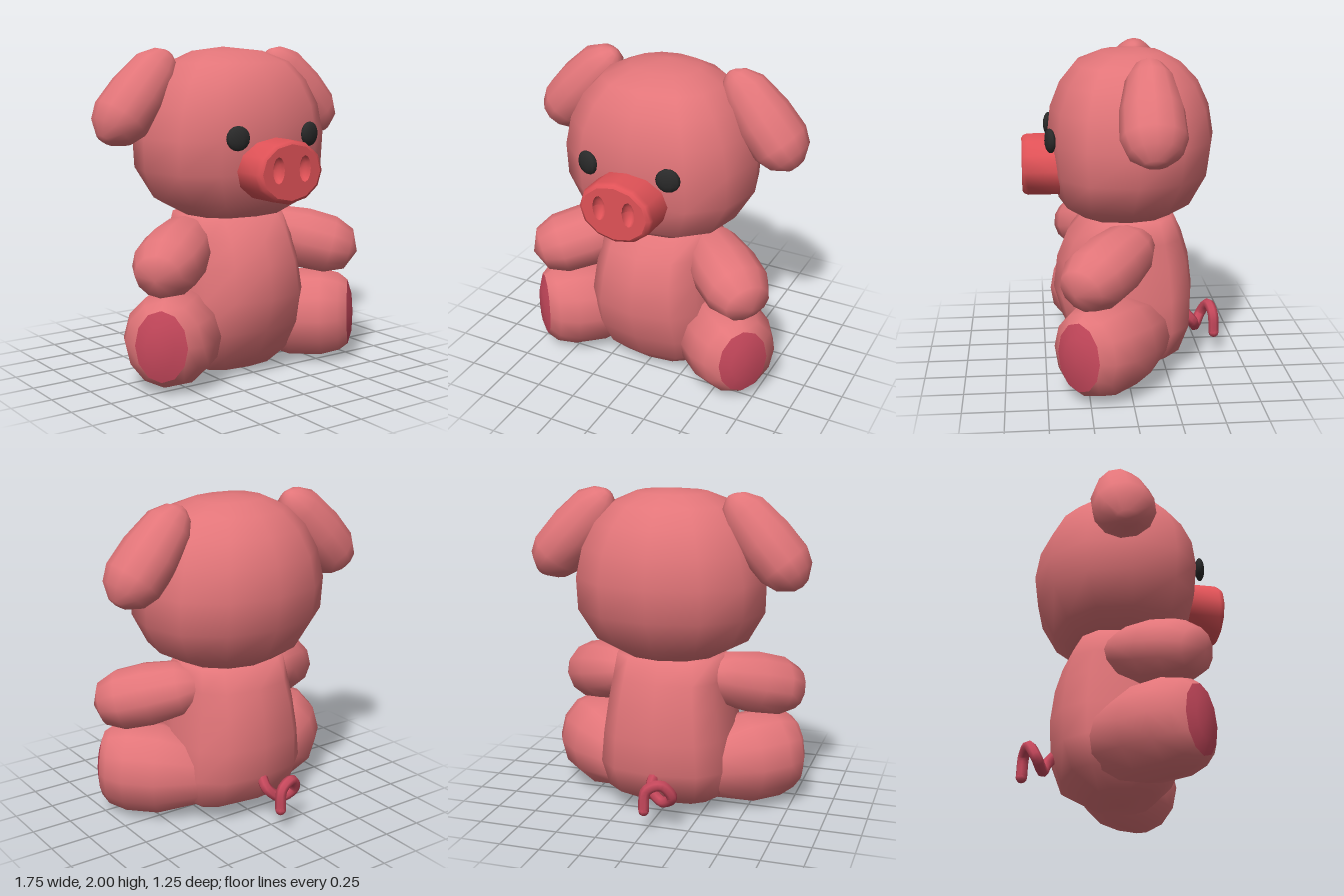
import * as THREE from 'three';
import { mergeVertices } from 'three/addons/utils/BufferGeometryUtils.js';

const mat = (name, color) => new THREE.MeshStandardMaterial({ name, color });
const V = (x, y, z) => new THREE.Vector3(x, y, z);
const SIDES = 12;

// Smooth skin over stacked rings: [y, rx, zBack, zFront]; powers above 2 square the front or back half
function loft(rings, front = 2, back = front) {
  const pos = [], index = [];
  rings.forEach(([y, rx, zb, zf], i) => {
    for (let j = 0; j < SIDES; j++) {
      const a = (j / SIDES) * Math.PI * 2;
      const power = Math.sin(a) > 0 ? front : back;
      const sup = (v) => Math.sign(v) * Math.abs(v) ** (2 / power);
      pos.push(rx * sup(Math.cos(a)), y, (zf + zb) / 2 + ((zf - zb) / 2) * sup(Math.sin(a)));
      if (i === rings.length - 1) continue;
      const l = i * SIDES + j, l2 = i * SIDES + ((j + 1) % SIDES);
      index.push(l, l + SIDES, l2, l2, l + SIDES, l2 + SIDES);
    }
  });
  let g = new THREE.BufferGeometry();
  g.setAttribute('position', new THREE.Float32BufferAttribute(pos, 3));
  g.setIndex(index);
  g = mergeVertices(g, 1e-5);
  g.computeVertexNormals();
  return g;
}

// Frame with y along a to b and z as close as possible to ref
function frame(a, b, ref) {
  const y = b.clone().sub(a).normalize();
  const z = ref.clone().addScaledVector(y, -ref.dot(y)).normalize();
  const x = y.clone().cross(z);
  return new THREE.Matrix4().makeBasis(x, y, z).setPosition(a);
}

// Limb rings: [distance along the axis, rx, rz]
const limb = (rings) => loft(rings.map(([t, rx, rz]) => [t, rx, -rz, rz]));

const ellipse = (Type, x, y, rx, ry, n) => new Type(Array.from({ length: n }, (_, i) => {
  const a = (i / n) * Math.PI * 2;
  return new THREE.Vector2(x + rx * Math.cos(a), y + ry * Math.sin(a));
}));

export function createModel() {
  const skin = mat('skin pink', 0xe27579);
  const snoutRed = mat('snout red', 0xe05257);
  const rose = mat('dark rose', 0xc7485c);
  const black = mat('eye black', 0x2a2a2a);

  const model = new THREE.Group();
  model.name = 'sittingPig';
  const add = (name, geometry, material) => {
    const m = new THREE.Mesh(geometry, material);
    m.name = name;
    model.add(m);
    return m;
  };

  // Head and pear-shaped body
  add('head', loft([
    [0.972, 0, -0.02, -0.02], [0.99, 0.31, -0.3, 0.275], [1.08, 0.48, -0.43, 0.4],
    [1.27, 0.59, -0.53, 0.445], [1.47, 0.595, -0.555, 0.465], [1.65, 0.555, -0.525, 0.445],
    [1.8, 0.475, -0.455, 0.385], [1.91, 0.37, -0.35, 0.295], [1.975, 0.22, -0.23, 0.14],
    [2.0, 0, -0.08, -0.08],
  ], 2.5, 2.1), skin);
  add('body', loft([
    [0.005, 0, 0, 0], [0.03, 0.27, -0.18, 0.2], [0.13, 0.39, -0.36, 0.3],
    [0.3, 0.43, -0.425, 0.385], [0.5, 0.41, -0.435, 0.44], [0.7, 0.38, -0.41, 0.415],
    [0.85, 0.355, -0.365, 0.355], [0.99, 0.335, -0.3, 0.24], [1.005, 0, 0, 0],
  ], 2.6, 2.8), skin);

  for (const s of [1, -1]) {
    const side = s > 0 ? 'left' : 'right';
    const up = V(0, 1, 0);

    // Arm
    add(side + 'Arm', limb([
      [-0.17, 0, 0], [-0.12, 0.12, 0.11], [0, 0.18, 0.168], [0.2, 0.21, 0.195],
      [0.38, 0.205, 0.187], [0.5, 0.145, 0.135], [0.56, 0, 0],
    ]).applyMatrix4(frame(V(0.33 * s, 0.83, 0), V(0.62 * s, 0.74, 0.23), up)), skin);

    // Leg, closed by a domed sole
    const legFrame = frame(V(0.215 * s, 0.287, -0.14), V(0.695 * s, 0.302, 0.31), up);
    add(side + 'Leg', limb([
      [-0.04, 0, 0], [0.02, 0.19, 0.2], [0.3, 0.285, 0.285], [0.5, 0.28, 0.287],
      [0.615, 0.235, 0.257], [0.67, 0.158, 0.213],
    ]).applyMatrix4(legFrame), skin);
    add(side + 'Sole', limb([
      [0.67, 0.158, 0.213], [0.695, 0.09, 0.125], [0.702, 0, 0],
    ]).applyMatrix4(legFrame), rose);

    // Drooping ear
    add(side + 'Ear', limb([
      [-0.135, 0, 0], [-0.125, 0.035, 0.035], [-0.09, 0.09, 0.085], [0, 0.15, 0.14],
      [0.2, 0.175, 0.185], [0.38, 0.172, 0.192], [0.475, 0.134, 0.155], [0.54, 0.05, 0.07],
      [0.55, 0, 0],
    ]).applyMatrix4(frame(V(0.46 * s, 1.87, -0.11), V(0.79 * s, 1.495, -0.11), V(0, 0, 1))), skin);

    // Eye
    const eye = add(side + 'Eye', new THREE.SphereGeometry(1, 10, 8).scale(0.073, 0.073, 0.03), black);
    eye.position.set(0.26 * s, 1.49, 0.452);
    eye.rotation.y = 0.25 * s;

    // Nostril: an inward-facing bowl
    const bowl = new THREE.SphereGeometry(1, 12, 5, 0, Math.PI * 2, 0, Math.PI / 2)
      .rotateX(Math.PI / 2).scale(0.042, 0.078, -0.05).translate(0.095 * s, 1.31, 0.621);
    bowl.computeVertexNormals();
    add(side + 'Nostril', bowl, snoutRed);
  }

  // Snout: rounded oval wall and a front with two nostril holes
  add('snout', loft([
    [0.38, 0.235, -0.188, 0.188], [0.42, 0.238, -0.19, 0.19], [0.585, 0.238, -0.19, 0.19],
    [0.61, 0.228, -0.181, 0.181], [0.621, 0.208, -0.164, 0.164],
  ]).rotateX(Math.PI / 2).translate(0, 1.293, 0), snoutRed);
  const face = ellipse(THREE.Shape, 0, 1.293, 0.208, 0.164, SIDES);
  for (const s of [1, -1]) face.holes.push(ellipse(THREE.Path, 0.095 * s, 1.31, 0.042, 0.078, 12));
  add('snoutFront', new THREE.ShapeGeometry(face).translate(0, 0, 0.621), snoutRed);

  // Curly tail with a rounded end
  const curl = new THREE.CatmullRomCurve3([
    V(0, 0.3, -0.39), V(0, 0.23, -0.45), V(-0.08, 0.165, -0.48), V(-0.155, 0.22, -0.525),
    V(-0.1, 0.305, -0.565), V(-0.015, 0.27, -0.585), V(0, 0.145, -0.592),
  ]);
  add('tail', new THREE.TubeGeometry(curl, 28, 0.034, 7), rose);
  add('tailTip', new THREE.SphereGeometry(0.034, 8, 6).translate(0, 0.145, -0.592), rose);

  return model;
}
